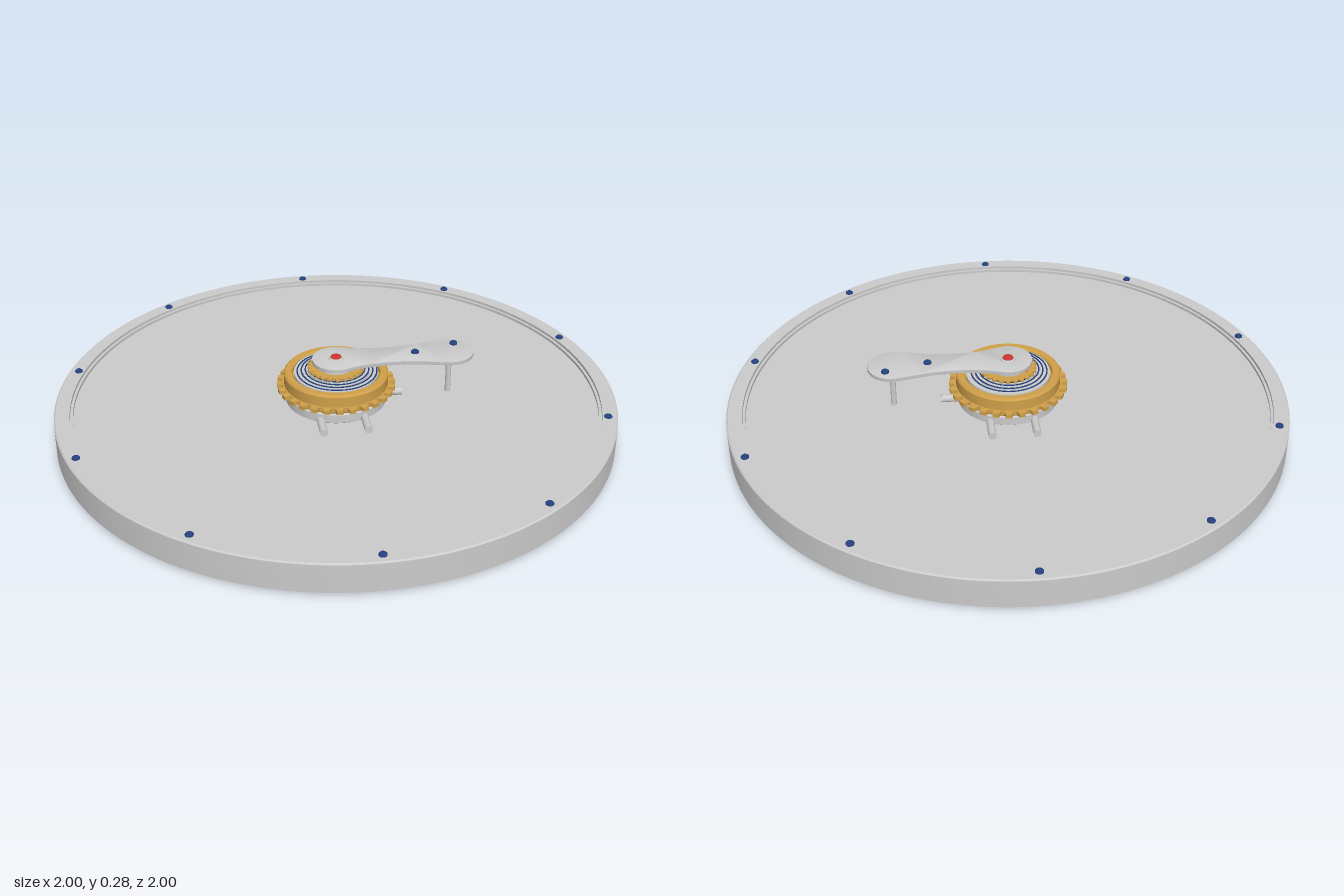
import * as THREE from 'three';
import { toCreasedNormals } from 'three/addons/utils/BufferGeometryUtils.js';

const mat = (color) => new THREE.MeshStandardMaterial({ color });
const grey = mat(0xcccccc), gold = mat(0xd0a04a), blue = mat(0x24407f), red = mat(0xc83a32);

export function createModel() {
  const model = new THREE.Group();

  const add = (name, geometry, material, x = 0, y = 0, z = 0) => {
    const mesh = new THREE.Mesh(geometry, material);
    mesh.name = name;
    mesh.position.set(x, y, z);
    model.add(mesh);
    return mesh;
  };
  // Turned part from [radius, y] pairs, listed from the bottom axis outward and up
  const turned = (name, points, material, segments = 96) => {
    const profile = points.map(([r, y]) => new THREE.Vector2(r, y));
    return add(name, toCreasedNormals(new THREE.LatheGeometry(profile, segments), 0.5), material);
  };
  // Flat outline in x/z, raised from y0 by the given height
  const plate = (name, shape, y0, height, material, bevel = 0) => {
    const geometry = new THREE.ExtrudeGeometry(shape, {
      depth: height - 2 * bevel, bevelEnabled: bevel > 0, bevelSize: bevel,
      bevelThickness: bevel, bevelOffset: -bevel, bevelSegments: 2, curveSegments: 24,
    });
    geometry.rotateX(-Math.PI / 2);
    return add(name, toCreasedNormals(geometry, 0.5), material, 0, y0 + bevel, 0);
  };
  const gearShape = (teeth, root, tip, hole) => {
    const shape = new THREE.Shape();
    const step = (Math.PI * 2) / teeth;
    for (let i = 0; i < teeth; i++) {
      [[0, root], [0.3, root], [0.42, tip], [0.88, tip]].forEach(([t, r], k) => {
        const a = (i + t) * step;
        shape[i + k === 0 ? 'moveTo' : 'lineTo'](r * Math.cos(a), r * Math.sin(a));
      });
    }
    shape.closePath();
    shape.holes.push(new THREE.Path().absarc(0, 0, hole, 0, Math.PI * 2, true));
    return shape;
  };
  const screw = (name, x, y, z, r = 0.014) => {
    const head = [[0, 0], [r, 0], [r, 0.006], [r * 0.65, 0.011], [0, 0.012]];
    turned(name, head, blue, 16).position.set(x, y, z);
  };

  // Round base with a bevelled foot and a shallow recess inside the rim
  turned('basePlate', [
    [0, 0], [0.985, 0], [1, 0.012], [1, 0.115], [0.995, 0.12], [0.945, 0.12],
    [0.945, 0.11], [0.935, 0.11], [0.935, 0.1], [0, 0.1],
  ], grey, 160);
  for (let i = 0; i < 10; i++) {
    const a = (i * Math.PI) / 5;
    screw('rimScrew', Math.sin(a) * 0.965, 0.118, -Math.cos(a) * 0.965);
  }

  // Locating pins round the pedestal
  const pin = new THREE.CylinderGeometry(0.014, 0.014, 0.1, 16).rotateX(Math.PI / 2);
  for (const x of [-0.078, 0.078]) {
    for (const z of [-0.2, 0.2]) add('locatingPin', pin, grey, x, 0.112, z);
  }
  add('locatingPin', pin, grey, 0.19, 0.112, 0).rotation.y = Math.PI / 2;

  // Pedestal and barrel
  turned('pedestal', [[0, 0.1], [0.172, 0.1], [0.18, 0.106], [0.18, 0.136], [0.172, 0.146], [0, 0.146]], grey);
  turned('barrel', [
    [0, 0.145], [0.18, 0.145], [0.186, 0.151], [0.186, 0.21], [0.18, 0.217],
    [0.16, 0.217], [0.155, 0.212], [0.155, 0.2], [0, 0.2],
  ], gold);
  plate('barrelTeeth', gearShape(28, 0.192, 0.212, 0.17), 0.157, 0.015, gold);

  // Stepped cover inside the barrel
  turned('barrelCover', [
    [0, 0.2], [0.15, 0.2], [0.15, 0.214], [0.12, 0.214], [0.12, 0.219],
    [0.102, 0.219], [0.102, 0.224], [0, 0.224],
  ], grey);

  // Coiled spring, rising a little towards the middle
  const coil = [];
  for (let i = 0; i <= 120; i++) {
    const t = i / 120, a = t * Math.PI * 8, r = 0.146 - 0.058 * t;
    coil.push(new THREE.Vector3(r * Math.cos(a), 0.215 + 0.012 * t, r * Math.sin(a)));
  }
  add('spring', new THREE.TubeGeometry(new THREE.CatmullRomCurve3(coil), 360, 0.0025, 6), blue);

  // Small wheel, its hub and the arbor
  plate('innerWheel', gearShape(24, 0.092, 0.102, 0.06), 0.226, 0.008, gold);
  turned('hub', [[0, 0.22], [0.066, 0.22], [0.066, 0.238], [0.06, 0.242], [0, 0.242]], grey, 48);
  add('arbor', new THREE.CylinderGeometry(0.02, 0.02, 0.12, 24), grey, 0, 0.2, 0);
  for (const s of [-1, 1]) {
    add('smallStud', new THREE.CylinderGeometry(0.01, 0.01, 0.02, 16), red, 0.058 * s, 0.234, 0.03 * s);
  }

  // Waisted bridge arm: two round ends joined by a narrow neck
  const arm = new THREE.Shape();
  arm.absarc(0, 0, 0.086, 1.13, Math.PI * 2 - 1.13, false);
  arm.bezierCurveTo(0.11, -0.053, 0.16, -0.054, 0.22, -0.056);
  arm.bezierCurveTo(0.29, -0.058, 0.32, -0.072, 0.377, -0.083);
  arm.absarc(0.41, 0, 0.087, -1.93, 1.93, false);
  arm.bezierCurveTo(0.32, 0.072, 0.29, 0.058, 0.22, 0.056);
  arm.bezierCurveTo(0.16, 0.054, 0.11, 0.053, 0.037, 0.078);
  plate('bridgeArm', arm, 0.25, 0.016, grey, 0.003);
  add('armPost', new THREE.CylinderGeometry(0.01, 0.01, 0.16, 24), grey, 0.41, 0.175, 0);
  screw('armScrew', 0.285, 0.265, 0);
  screw('armScrew', 0.435, 0.265, -0.045);

  // Pivot setting with its red bearing
  turned('pivotSetting', [[0, 0.262], [0.026, 0.262], [0.026, 0.267], [0.022, 0.27], [0, 0.27]], grey, 32);
  turned('pivotBearing', [[0, 0.268], [0.02, 0.268], [0.018, 0.274], [0.005, 0.276], [0.004, 0.272], [0, 0.272]], red, 32);

  return model;
}
